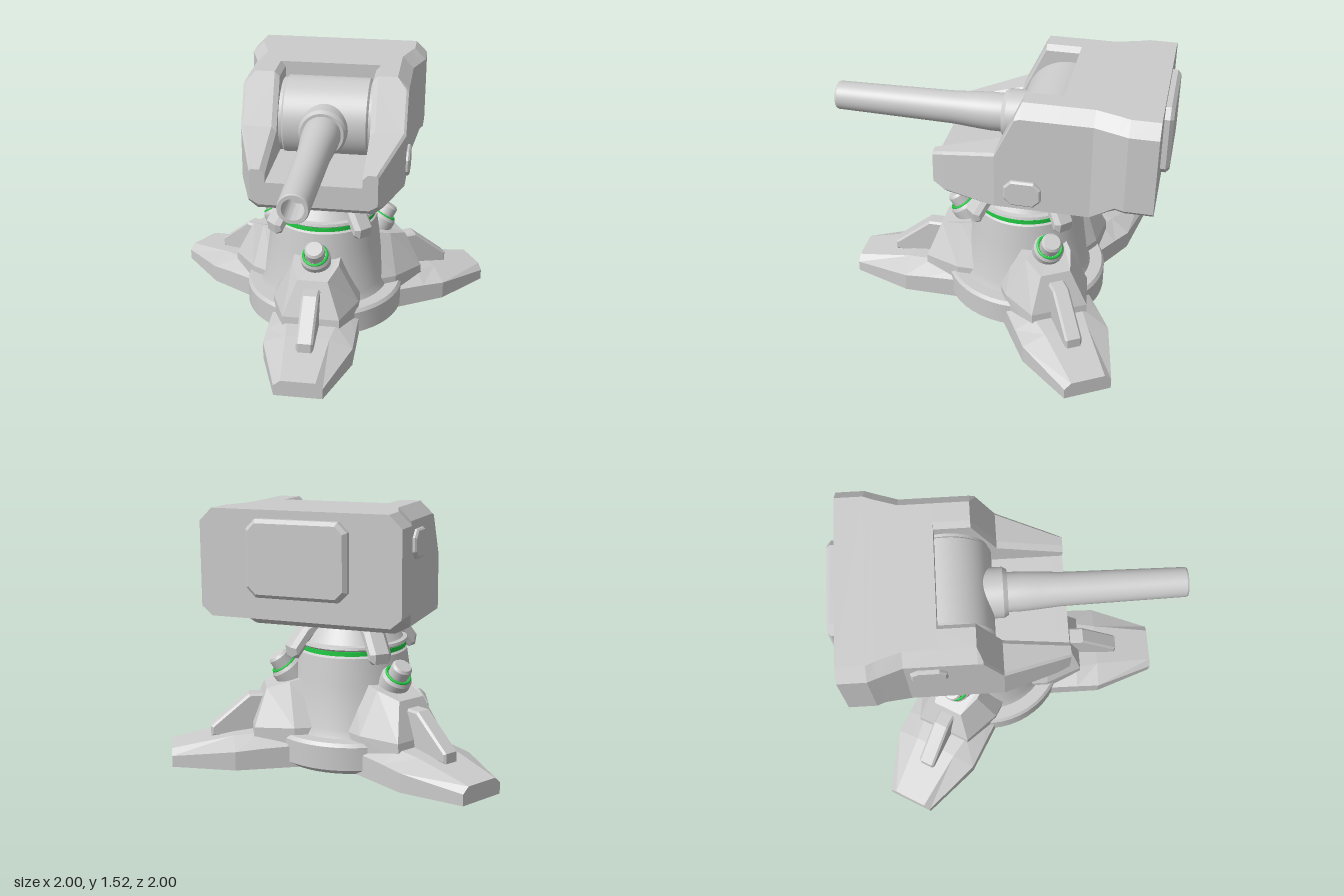
import * as THREE from 'three';
import { toCreasedNormals } from 'three/addons/utils/BufferGeometryUtils.js';

const grey = new THREE.MeshStandardMaterial({ color: 0xcccccc });
const green = new THREE.MeshStandardMaterial({ color: 0x22cc44 });

function add(parent, name, geo, mat = grey) {
  const m = new THREE.Mesh(geo, mat);
  m.name = name;
  parent.add(m);
  return m;
}

// Flat-shaded solid through a list of convex rings with equal point counts.
function loft(rings) {
  const tris = [], n = rings[0].length, last = rings[rings.length - 1];
  for (let i = 0; i + 1 < rings.length; i++) {
    for (let j = 0; j < n; j++) {
      const k = (j + 1) % n, a = rings[i], b = rings[i + 1];
      tris.push([a[j], a[k], b[k]], [a[j], b[k], b[j]]);
    }
  }
  for (let j = 1; j + 1 < n; j++) {
    tris.push([rings[0][0], rings[0][j + 1], rings[0][j]], [last[0], last[j], last[j + 1]]);
  }
  // turn the faces outward if the rings run the other way
  let volume = 0;
  const v = (p) => new THREE.Vector3(...p);
  for (const [a, b, c] of tris) volume += v(a).dot(v(b).cross(v(c)));
  if (volume < 0) tris.forEach((t) => t.reverse());
  const geo = new THREE.BufferGeometry();
  geo.setAttribute('position', new THREE.Float32BufferAttribute(tris.flat(2), 3));
  geo.computeVertexNormals();
  return geo;
}

function lathe(profile, segments = 48) {
  const pts = profile.map(([r, y]) => new THREE.Vector2(r, y));
  return toCreasedNormals(new THREE.LatheGeometry(pts, segments), 0.4);
}

// Mirrors half a ring, given from top to bottom on the +x side.
const mirrorRing = (half) => [...half, ...half.map(([x, y, z]) => [-x, y, z]).reverse()];

// Plate with cut corners in the xy plane, rising from z = 0 to z = h.
function plate(w, hgt, cut, h, bevel) {
  const x = w / 2 - bevel, y = hgt / 2 - bevel;
  const shape = new THREE.Shape([
    [x, y - cut], [x - cut, y], [cut - x, y], [-x, y - cut],
    [-x, cut - y], [cut - x, -y], [x - cut, -y], [x, cut - y],
  ].map((p) => new THREE.Vector2(...p)));
  const geo = new THREE.ExtrudeGeometry(shape, {
    depth: h - bevel, bevelSize: bevel, bevelThickness: bevel, bevelSegments: 1,
  });
  return geo;
}

// Rib with its side profile given as [outward, up], centred on its width.
function rib(profile, width, bevel) {
  const shape = new THREE.Shape(profile.map((p) => new THREE.Vector2(...p)));
  const geo = new THREE.ExtrudeGeometry(shape, {
    depth: width - 2 * bevel, bevelSize: bevel, bevelThickness: bevel, bevelOffset: -bevel, bevelSegments: 1,
  });
  return geo.translate(0, 0, bevel - width / 2).rotateY(-Math.PI / 2);
}

function buildLeg() {
  const leg = new THREE.Group();
  leg.name = 'leg';
  // foot: [distance, half width, shoulder height, top half width, top height]
  add(leg, 'foot', loft([
    [0.3, 0.265, 0.13, 0.17, 0.185],
    [0.58, 0.265, 0.12, 0.15, 0.18],
    [0.72, 0.265, 0.11, 0.13, 0.165],
    [1.075, 0.14, 0.065, 0.1, 0.1],
  ].map(([r, w, ys, wt, yt]) => mirrorRing([[wt, yt, r], [w, ys, r], [w, 0, r]]))));
  // buttress leaning on the column
  const level = (w, wo, inner, mid, outer, ys) => mirrorRing(
    [[w, ys[0], inner], [w, ys[1], mid], [wo, ys[2], outer]]);
  add(leg, 'buttress', loft([
    level(0.26, 0.17, 0.2, 0.38, 0.61, [0.1, 0.1, 0.1]),
    level(0.26, 0.17, 0.2, 0.38, 0.6, [0.23, 0.23, 0.22]),
    level(0.14, 0.09, 0.2, 0.39, 0.52, [0.52, 0.475, 0.43]),
  ]));
  add(leg, 'footRib', rib([[0.5, 0.14], [0.845, 0.14], [0.845, 0.2], [0.62, 0.385], [0.5, 0.385]], 0.1, 0.012));
  // tilted knob with a glowing ring
  const knob = new THREE.Group();
  knob.name = 'knob';
  knob.position.set(0, 0.47, 0.36);
  knob.rotation.x = 0.58;
  add(knob, 'knobBody', lathe([[0, -0.04], [0.09, -0.04], [0.09, 0.07], [0.078, 0.09], [0.06, 0.09],
    [0.06, 0.15], [0.048, 0.165], [0, 0.165]], 24));
  add(knob, 'knobRing', new THREE.TorusGeometry(0.07, 0.009, 6, 32).rotateX(Math.PI / 2).translate(0, 0.09, 0), green);
  leg.add(knob);
  return leg;
}

function buildBase() {
  const base = new THREE.Group();
  base.name = 'base';
  base.position.z = -0.16;
  add(base, 'column', lathe([[0, 0], [0.44, 0], [0.49, 0.035], [0.49, 0.17], [0.475, 0.19], [0.4, 0.19],
    [0.38, 0.24], [0.345, 0.5], [0.325, 0.64], [0.31, 0.65], [0, 0.65]]));
  add(base, 'glowBand', lathe([[0.28, 0.645], [0.318, 0.652], [0.318, 0.678], [0.28, 0.685]]), green);
  add(base, 'cap', lathe([[0, 0.675], [0.31, 0.675], [0.33, 0.69], [0.325, 0.705], [0.3, 0.71],
    [0.235, 0.81], [0.225, 0.825], [0, 0.825]]));
  // four claws holding the cap
  for (let i = 0; i < 4; i++) {
    const claw = add(base, 'capClaw', rib([[0.2, 0.815], [0.28, 0.82], [0.32, 0.8], [0.41, 0.68],
      [0.4, 0.62], [0.36, 0.61], [0.3, 0.69]], 0.13, 0.025));
    claw.rotation.y = Math.PI / 4 + i * Math.PI / 2;
  }
  for (let i = 0; i < 3; i++) {
    const leg = buildLeg();
    leg.rotation.y = i * Math.PI * 2 / 3;
    base.add(leg);
  }
  return base;
}

function buildHead() {
  const head = new THREE.Group();
  head.name = 'head';
  // hull stations: [z, half width, roof half width, top, top chamfer, low chamfer, floor half width, bottom]
  const rear = [
    [-0.95, 0.56, 0.49, 1.52, 1.45, 0.995, 0.5, 0.945],
    [-0.79, 0.56, 0.49, 1.52, 1.45, 0.995, 0.5, 0.945],
    [-0.74, 0.542, 0.47, 1.52, 1.45, 0.995, 0.48, 0.945],
    [-0.6, 0.495, 0.425, 1.52, 1.45, 0.885, 0.41, 0.84],
    [-0.41, 0.495, 0.425, 1.52, 1.45, 0.885, 0.41, 0.84],
  ];
  const front = [
    rear[4],
    [-0.205, 0.495, 0.425, 1.52, 1.45, 0.885, 0.41, 0.84],
    [-0.175, 0.495, 0.48, 1.455, 1.44, 0.885, 0.41, 0.84],
    [-0.065, 0.495, 0.48, 1.22, 1.205, 0.885, 0.41, 0.84],
    [0.25, 0.394, 0.38, 1.13, 1.115, 0.885, 0.34, 0.84],
    [0.32, 0.37, 0.36, 1.11, 1.095, 0.92, 0.32, 0.89],
  ];
  add(head, 'rearHull', loft(rear.map(([z, w, wt, yt, ytc, ybc, wb, yb]) => mirrorRing(
    [[wt, yt, z], [w, ytc, z], [w, ybc, z], [wb, yb, z]]))));
  // cheeks either side of the gun opening
  for (const s of [1, -1]) {
    add(head, s > 0 ? 'leftCheek' : 'rightCheek', loft(front.map(([z, w, wt, yt, ytc, ybc, wb, yb]) => [
      [0.31, yt], [wt, yt], [w, ytc], [w, ybc], [wb, yb], [0.28, yb], [0.28, yt - 0.03],
    ].map(([x, y]) => [s * x, y, z]))));
  }
  add(head, 'chinFloor', loft([[-0.41, 0.84], [0.25, 0.84], [0.32, 0.89]].map(([z, yb]) => mirrorRing(
    [[0.28, 1.03, z], [0.28, yb, z]]))));

  // rotating gun drum
  add(head, 'gunDrum', lathe([[0, -0.285], [0.235, -0.285], [0.235, -0.262], [0.25, -0.25], [0.25, 0.25],
    [0.235, 0.262], [0.235, 0.285], [0, 0.285]], 64)
    .rotateZ(Math.PI / 2).translate(0, 1.195, -0.35));
  // collar and hollow barrel in one turned profile
  add(head, 'barrel', lathe([[0, -0.25], [0.145, -0.25], [0.145, -0.045], [0.13, -0.02], [0.113, -0.02],
    [0.113, 0.06], [0.108, 0.14], [0.097, 0.28], [0.085, 0.99], [0.08, 1], [0.06, 1], [0.06, 0.8], [0, 0.8]])
    .rotateX(Math.PI / 2).scale(1, 1, 1).translate(0, 1.205, 0));

  // hatches
  const hatch = add(head, 'rearHatch', plate(0.56, 0.41, 0.04, 0.05, 0.02));
  hatch.rotation.y = Math.PI;
  hatch.position.set(0, 1.27, -0.95);
  const left = add(head, 'leftPanel', plate(0.21, 0.155, 0.035, 0.022, 0.01));
  left.rotation.y = Math.PI / 2;
  left.position.set(0.495, 0.99, -0.225);
  const right = add(head, 'rightPanel', plate(0.2, 0.16, 0.035, 0.022, 0.01));
  right.rotation.y = -Math.PI / 2;
  right.position.set(-0.495, 1.32, -0.47);
  return head;
}

export function createModel() {
  const model = new THREE.Group();
  model.name = 'turret';
  model.add(buildBase(), buildHead());
  return model;
}
